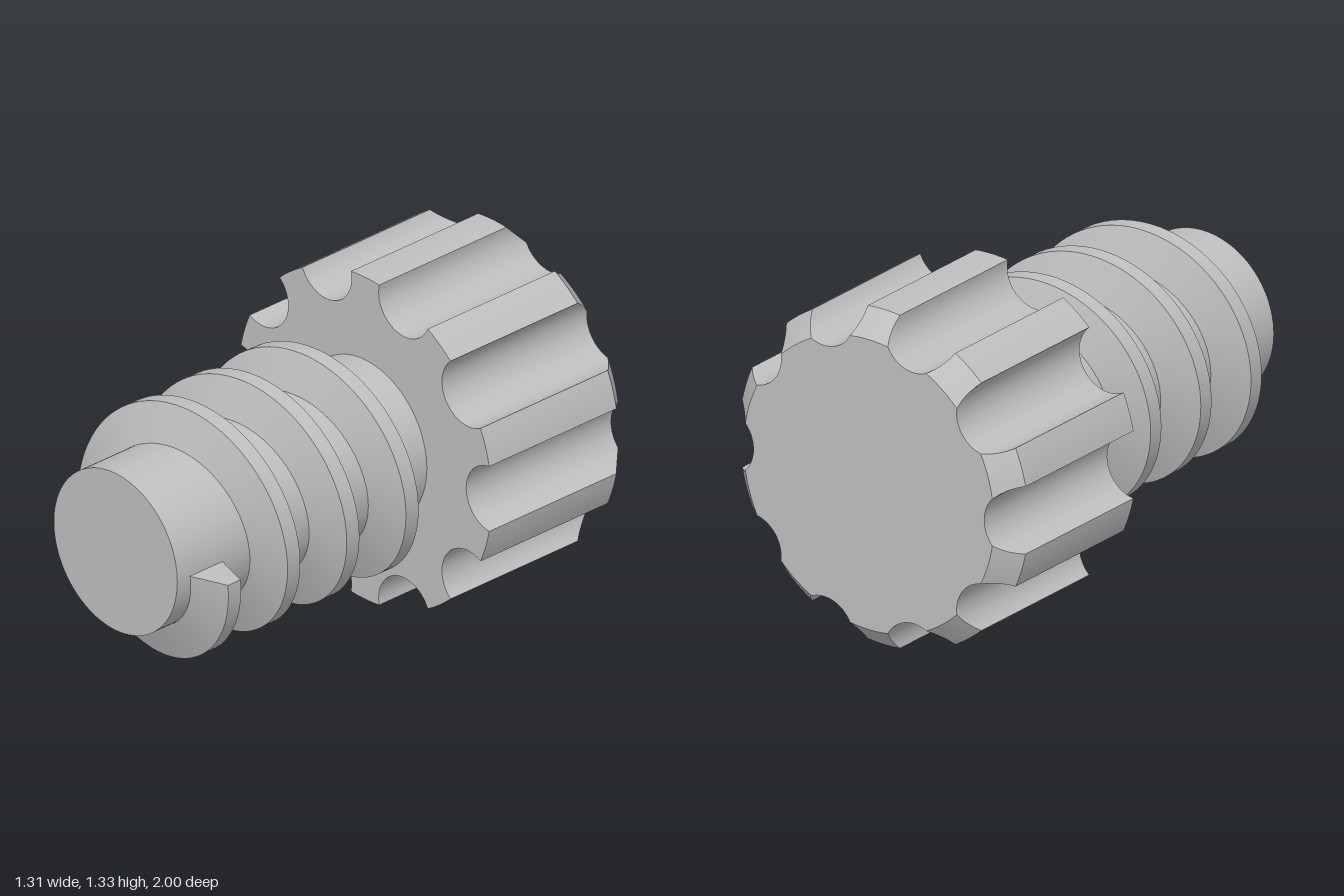
import * as THREE from 'three';
import { toCreasedNormals } from 'three/addons/utils/BufferGeometryUtils.js';

const AXIS_Y = 0.667, KNOB_R = 0.667, GROOVE_R = 0.135, GROOVES = 10;
const SHAFT_R = 0.325, CREST_R = 0.472, PITCH = 0.3;

// Closed solid through a row of equal-length rings, with fan caps at both ends
function loft(rings) {
  const n = rings[0].length, pos = [];
  const tri = (...pts) => pts.forEach((p) => pos.push(p.x, p.y, p.z));
  for (let i = 0; i < rings.length - 1; i++) {
    for (let j = 0; j < n; j++) {
      const k = (j + 1) % n;
      const a = rings[i][j], b = rings[i][k], c = rings[i + 1][k], d = rings[i + 1][j];
      tri(a, d, c);
      tri(a, c, b);
    }
  }
  const centre = (ring) => ring.reduce((s, p) => s.add(p), new THREE.Vector3()).divideScalar(n);
  const first = rings[0], last = rings[rings.length - 1];
  const c0 = centre(first), c1 = centre(last);
  for (let j = 0; j < n; j++) {
    const k = (j + 1) % n;
    tri(c0, first[j], first[k]);
    tri(c1, last[k], last[j]);
  }
  const g = new THREE.BufferGeometry();
  g.setAttribute('position', new THREE.Float32BufferAttribute(pos, 3));
  return toCreasedNormals(g, 0.5);
}

// Scalloped knob outline for a given rim radius at depth z
function knobRing(rim, z) {
  const pts = [], step = (Math.PI * 2) / GROOVES, arcSegs = 20, rimSegs = 5;
  const ix = (rim * rim + KNOB_R * KNOB_R - GROOVE_R * GROOVE_R) / (2 * KNOB_R);
  const iy = Math.sqrt(rim * rim - ix * ix);
  const phi = Math.atan2(iy, ix - KNOB_R), edge = Math.atan2(iy, ix);
  for (let g = 0; g < GROOVES; g++) {
    const turn = g * step, c = Math.cos(turn), s = Math.sin(turn);
    for (let i = 0; i <= arcSegs; i++) {
      const a = THREE.MathUtils.lerp(Math.PI * 2 - phi, phi, i / arcSegs);
      const x = KNOB_R + GROOVE_R * Math.cos(a), y = GROOVE_R * Math.sin(a);
      pts.push(new THREE.Vector3(x * c - y * s, x * s + y * c, z));
    }
    for (let i = 1; i < rimSegs; i++) {
      const a = turn + THREE.MathUtils.lerp(edge, step - edge, i / rimSegs);
      pts.push(new THREE.Vector3(rim * Math.cos(a), rim * Math.sin(a), z));
    }
  }
  return pts;
}

// Trapezoid thread section swept along a helix
function threadRings() {
  const section = [[SHAFT_R - 0.005, 0.084], [CREST_R, 0.032], [CREST_R, -0.032], [SHAFT_R - 0.005, -0.084]];
  const turns = 3.25, steps = 312, rings = [];
  for (let i = 0; i <= steps; i++) {
    const t = (turns * i) / steps, a = -t * Math.PI * 2, zc = 0.853 - t * PITCH;
    rings.push(section.map(([r, dz]) => new THREE.Vector3(r * Math.cos(a), r * Math.sin(a), zc + dz)));
  }
  return rings;
}

export function createModel() {
  const model = new THREE.Group();
  model.name = 'thumbScrew';
  const grey = new THREE.MeshStandardMaterial({ color: 0xbfbfbf });
  grey.name = 'plainGrey';

  const add = (name, geometry) => {
    const mesh = new THREE.Mesh(geometry, grey);
    mesh.name = name;
    mesh.position.y = AXIS_Y;
    model.add(mesh);
    return mesh;
  };

  // Knob: straight grip, then a 45 degree chamfer at the back
  const knob = [knobRing(KNOB_R, -0.265)];
  for (let i = 0; i <= 4; i++) knob.push(knobRing(KNOB_R - (0.09 * i) / 4, -0.91 - (0.09 * i) / 4));
  add('gripKnob', loft(knob));

  // Plain round shaft, its end just inside the knob
  const shaft = new THREE.CylinderGeometry(SHAFT_R, SHAFT_R, 1.28, 96);
  shaft.rotateX(Math.PI / 2);
  shaft.translate(0, 0, 0.36);
  add('shaft', shaft);

  add('screwThread', loft(threadRings()));
  return model;
}
